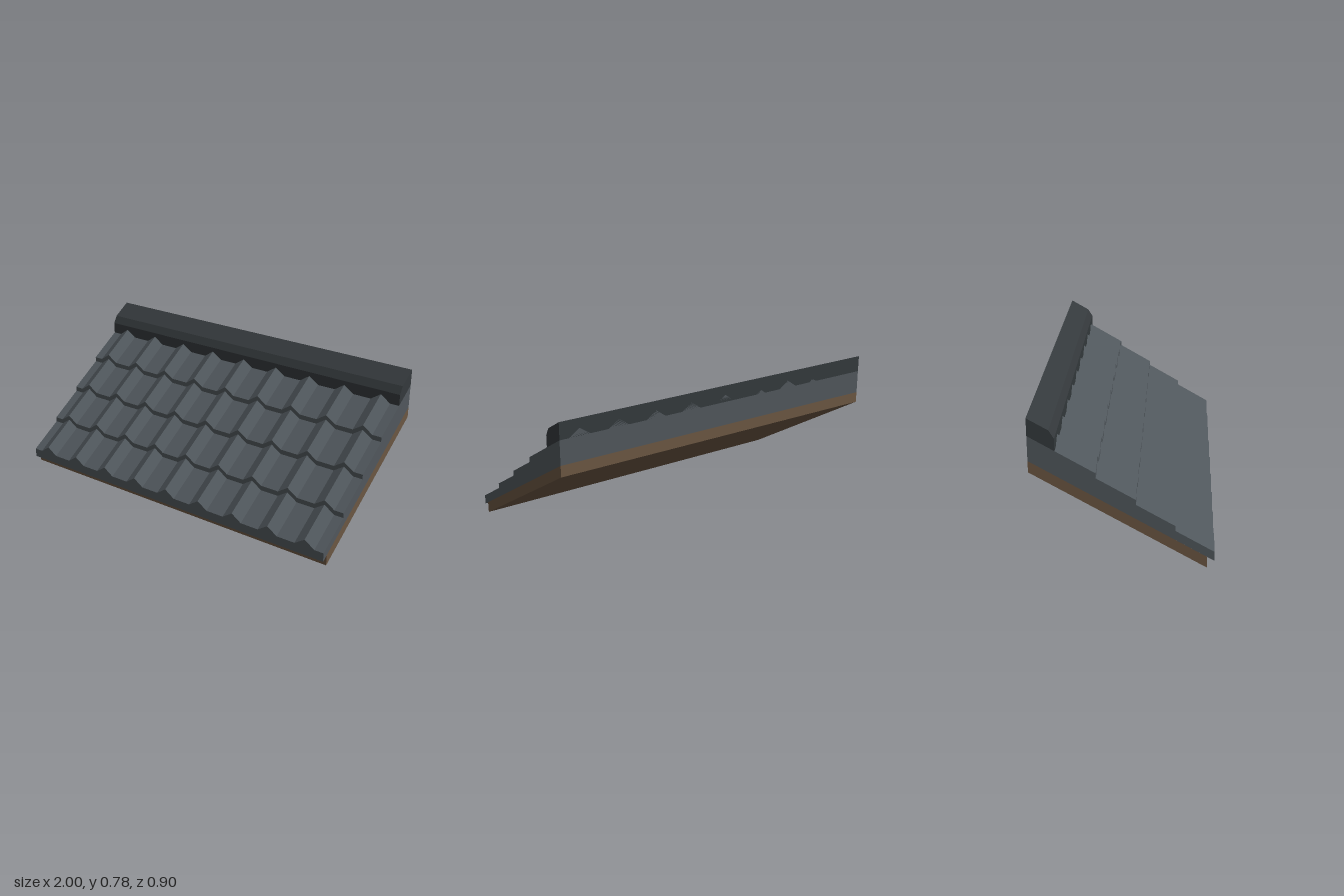
import * as THREE from 'three';

const SLOPE = Math.tan(Math.PI / 6);
const FRONT = 0.45, BACK = -0.45;
const ROWS = 4, ROW_DEPTH = 0.1925, ROW_LIFT = 0.0265;
const ROLLS = 9, PITCH = 2 / ROLLS, ROLL_HALF = 0.058;
const PAN = 0.05, CREST = 0.09;

const material = (color) =>
  new THREE.MeshStandardMaterial({ color, flatShading: true });

// Extrudes a side outline of [z, y] points across the full width
function acrossWidth(name, points, mat) {
  const shape = new THREE.Shape(points.map(([z, y]) => new THREE.Vector2(-z, y)));
  const geometry = new THREE.ExtrudeGeometry(shape, { depth: 2, bevelEnabled: false });
  geometry.rotateY(Math.PI / 2).translate(-1, 0, 0);
  const mesh = new THREE.Mesh(geometry, mat);
  mesh.name = name;
  return mesh;
}

// One course of tiles: ridged front profile swept back and sheared up the pitch
function tileRow(index, mat) {
  const lift = index * ROW_LIFT;
  const shape = new THREE.Shape();
  shape.moveTo(-1, 0);
  shape.lineTo(1, 0);
  shape.lineTo(1, PAN + lift);
  for (let i = ROLLS - 1; i >= 0; i--) {
    const x = -1 + (i + 0.5) * PITCH;
    shape.lineTo(x + ROLL_HALF, PAN + lift);
    shape.lineTo(x, CREST + lift);
    shape.lineTo(x - ROLL_HALF, PAN + lift);
  }
  shape.lineTo(-1, PAN + lift);

  const front = FRONT - index * ROW_DEPTH;
  const back = index === ROWS - 1 ? BACK : front - ROW_DEPTH;
  const geometry = new THREE.ExtrudeGeometry(shape, { depth: front - back, bevelEnabled: false });
  geometry.translate(0, 0.04, back);
  const p = geometry.attributes.position;
  for (let i = 0; i < p.count; i++) {
    p.setY(i, p.getY(i) + (FRONT - p.getZ(i)) * SLOPE);
  }
  geometry.computeVertexNormals();
  const mesh = new THREE.Mesh(geometry, mat);
  mesh.name = `tileRow${index + 1}`;
  return mesh;
}

export function createModel() {
  const model = new THREE.Group();
  model.name = 'roofSection';

  // Timber deck under the tiles
  model.add(acrossWidth('timberDeck',
    [[0.415, 0], [BACK, 0.5], [BACK, 0.56], [0.415, 0.06]], material(0x6b5642)));

  // Overlapping tile courses
  const tiles = new THREE.Group();
  tiles.name = 'tiles';
  const tileMaterial = material(0x50575c);
  for (let i = 0; i < ROWS; i++) tiles.add(tileRow(i, tileMaterial));
  model.add(tiles);

  // Chamfered ridge cap along the top edge
  model.add(acrossWidth('ridgeCap',
    [[-0.32, 0.614], [BACK, 0.689], [BACK, 0.78], [-0.345, 0.72], [-0.32, 0.678]],
    material(0x34393c)));

  return model;
}
